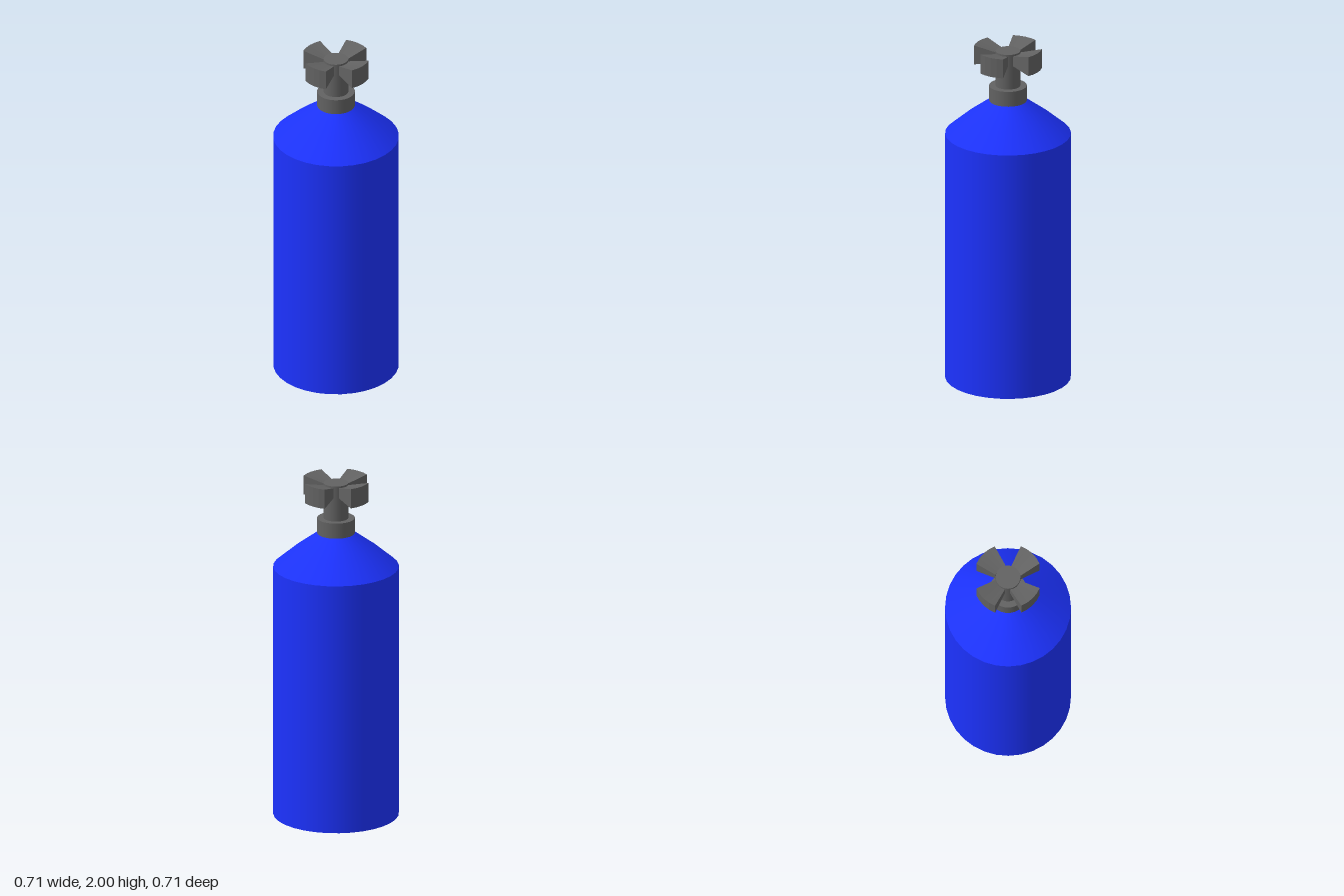
import * as THREE from 'three';

const blue = new THREE.MeshStandardMaterial({ color: 0x1c32ff });
const grey = new THREE.MeshStandardMaterial({ color: 0x626262 });
const greyFlat = new THREE.MeshStandardMaterial({ color: 0x626262, flatShading: true });

function cylinder(name, radius, y0, y1, material) {
  const mesh = new THREE.Mesh(new THREE.CylinderGeometry(radius, radius, y1 - y0, 32), material);
  mesh.position.y = (y0 + y1) / 2;
  mesh.name = name;
  return mesh;
}

// Handle lobe: a sector that grows taller and narrower in angle towards its rim
function lobeGeometry() {
  const steps = 4, positions = [], index = [];
  const ring = [ // radius, height, start angle, end angle
    [0.072, 1.91, 32, 98], [0.194, 1.885, 45, 90],
    [0.194, 2.0, 45, 90], [0.072, 1.97, 32, 98],
  ];
  for (let j = 0; j <= steps; j++) {
    for (const [r, y, a0, a1] of ring) {
      const a = THREE.MathUtils.degToRad(a0 + (a1 - a0) * j / steps);
      positions.push(r * Math.cos(a), y, -r * Math.sin(a));
    }
  }
  for (let j = 0; j < steps; j++) {
    for (let k = 0; k < 4; k++) {
      const a = j * 4 + k, b = j * 4 + (k + 1) % 4;
      index.push(a, a + 4, b + 4, a, b + 4, b);
    }
  }
  const e = steps * 4;
  index.push(0, 1, 2, 0, 2, 3, e, e + 2, e + 1, e, e + 3, e + 2);
  const geometry = new THREE.BufferGeometry();
  geometry.setAttribute('position', new THREE.Float32BufferAttribute(positions, 3));
  geometry.setIndex(index);
  geometry.computeVertexNormals();
  return geometry;
}

export function createModel() {
  const model = new THREE.Group();
  model.name = 'gasCylinder';

  // Tank with its sloping shoulder
  model.add(cylinder('tank', 0.357, 0, 1.48, blue));
  const profile = [[0.357, 1.48], [0.24, 1.58], [0.105, 1.68]].map(p => new THREE.Vector2(...p));
  const shoulder = new THREE.Mesh(new THREE.LatheGeometry(profile, 32), blue);
  shoulder.name = 'shoulder';
  model.add(shoulder);

  // Valve collar and stem
  model.add(cylinder('collar', 0.107, 1.68, 1.77, grey));
  model.add(cylinder('stem', 0.07, 1.77, 1.98, grey));

  // Four-lobed valve handle
  const handle = new THREE.Group();
  handle.name = 'handle';
  const geometry = lobeGeometry();
  for (let i = 0; i < 4; i++) {
    const lobe = new THREE.Mesh(geometry, greyFlat);
    lobe.rotation.y = i * Math.PI / 2;
    lobe.name = 'handleLobe';
    handle.add(lobe);
  }
  model.add(handle);
  return model;
}
